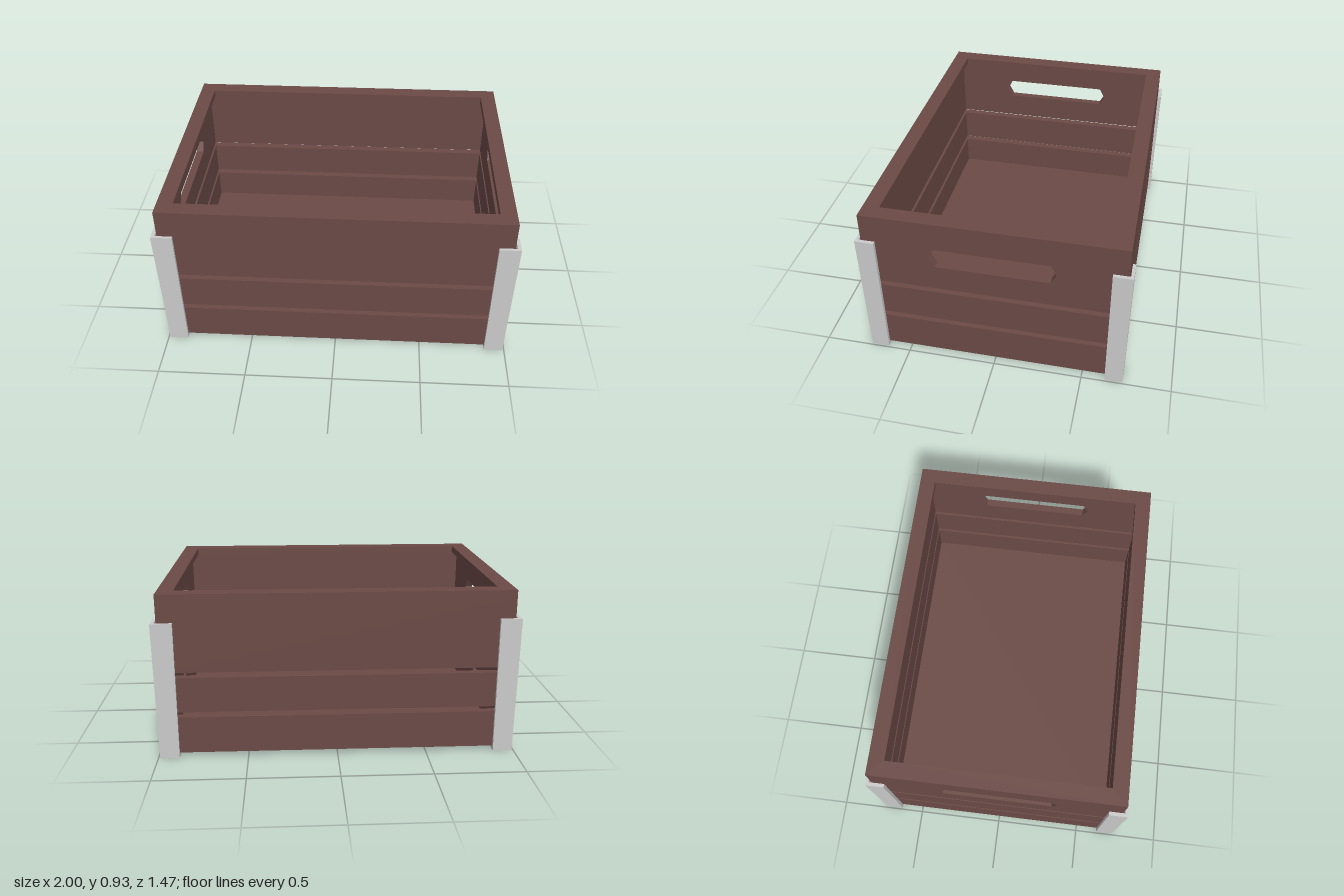
import * as THREE from 'three';

const wood = new THREE.MeshStandardMaterial({ color: 0x6b4a46, flatShading: true });
const metal = new THREE.MeshStandardMaterial({ color: 0xcccccc, flatShading: true });

const HX = 0.97, HZ = 0.713; // outer half sizes of the crate
const WALL = 0.045, RIM = 0.09;

const polygon = (pts, Type = THREE.Shape) => new Type(pts.map(([x, y]) => new THREE.Vector2(x, y)));
const rect = (a, b) => [[-a, -b], [a, -b], [a, b], [-a, b]];

export function createModel() {
  const crate = new THREE.Group();
  crate.name = 'crate';

  const add = (name, geometry, material) => {
    const mesh = new THREE.Mesh(geometry, material);
    mesh.name = name;
    crate.add(mesh);
    return mesh;
  };

  // extrude a plan outline (x, -z) upward between two heights
  const raise = (shape, y0, y1) =>
    new THREE.ExtrudeGeometry(shape, { depth: y1 - y0, bevelEnabled: false })
      .rotateX(-Math.PI / 2).translate(0, y0, 0);

  const frame = (t) => {
    const shape = polygon(rect(HX, HZ));
    shape.holes.push(polygon(rect(HX - t, HZ - t), THREE.Path));
    return shape;
  };

  // floor and the two lower bands of slats
  add('floor', new THREE.BoxGeometry(2 * (HX - WALL), 0.03, 2 * (HZ - WALL)).translate(0, 0.04, 0), wood);
  add('lowerSlats', raise(frame(WALL), 0.025, 0.235), wood);
  add('middleSlats', raise(frame(WALL), 0.265, 0.465), wood);

  // upper boards and the inward lip around the top
  const boardBottom = 0.495, boardTop = 0.89;
  add('rim', raise(frame(RIM), boardTop, 0.932), wood);
  for (const s of [-1, 1]) {
    const long = new THREE.BoxGeometry(2 * HX, boardTop - boardBottom, WALL);
    add(s > 0 ? 'frontBoard' : 'backBoard', long, wood)
      .position.set(0, (boardBottom + boardTop) / 2, s * (HZ - WALL / 2));

    // end board with a six-sided handle hole
    const w = HZ - WALL;
    const end = polygon([[-w, boardBottom], [w, boardBottom], [w, boardTop], [-w, boardTop]]);
    end.holes.push(polygon([
      [-0.312, 0.648], [0.312, 0.648], [0.343, 0.706],
      [0.312, 0.765], [-0.312, 0.765], [-0.343, 0.706],
    ], THREE.Path));
    const endGeo = new THREE.ExtrudeGeometry(end, { depth: WALL, bevelEnabled: false })
      .translate(0, 0, -WALL / 2).rotateY(Math.PI / 2);
    add(s > 0 ? 'leftEndBoard' : 'rightEndBoard', endGeo, wood).position.x = s * (HX - WALL / 2);
  }

  // corner brackets: L-shaped angles leaning slightly outward, each with a foot plate
  const X0 = 0.882, X1 = 0.99, Z0 = 0.63, Z1 = 0.73;
  for (const sx of [-1, 1]) for (const sz of [-1, 1]) {
    const plan = (pts) => polygon(pts.map(([x, z]) => [sx * x, -sz * z]));
    const angle = raise(plan([
      [X0, Z1], [X1, Z1], [X1, Z0], [HX, Z0], [HX, HZ], [X0, HZ],
    ]), 0.004, 0.777);
    const p = angle.attributes.position;
    for (let i = 0; i < p.count; i++) {
      const lean = p.getY(i) / 0.777;
      if (Math.abs(p.getX(i)) > X0 + 0.01) p.setX(i, p.getX(i) + sx * 0.01 * lean);
      if (Math.abs(p.getZ(i)) > Z0 + 0.01) p.setZ(i, p.getZ(i) + sz * 0.006 * lean);
    }
    angle.computeVertexNormals();
    const side = (sz > 0 ? 'front' : 'back') + (sx > 0 ? 'Left' : 'Right');
    add(side + 'Bracket', angle, metal);
    add(side + 'Foot', raise(plan([[X0, Z0], [X1, Z0], [X1, Z1], [X0, Z1]]), 0, 0.024), metal);
  }
  return crate;
}
